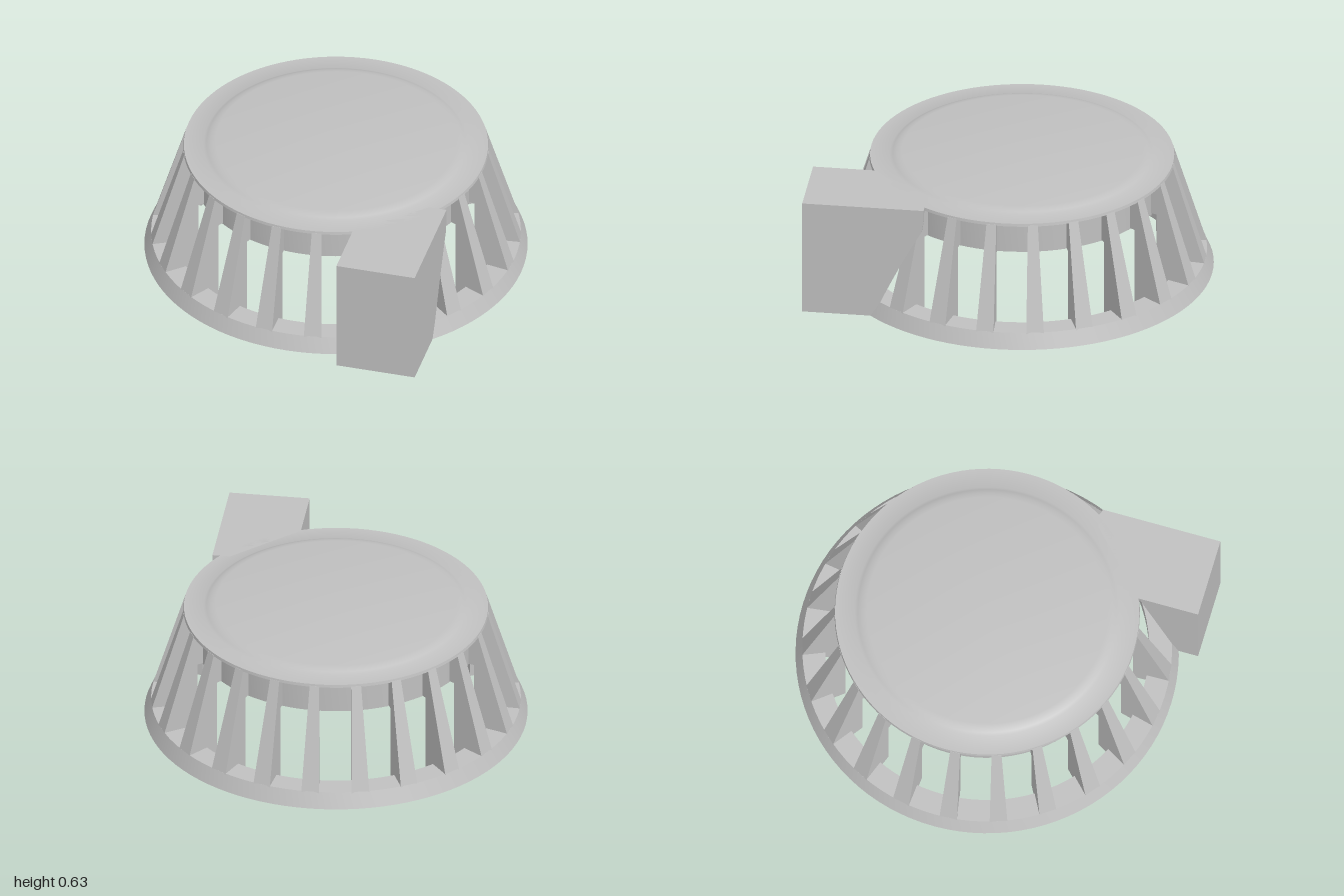
import * as THREE from 'three';
import { toCreasedNormals } from 'three/addons/utils/BufferGeometryUtils.js';

const CENTRE_Z = -0.03;   // axis of the round grate
const TOP = 0.615;
const coneRadius = (y) => 0.96 - 0.309 * y;   // sloping outer face of the slats

export function createModel() {
  const model = new THREE.Group();
  model.name = 'drainGrate';
  const grey = new THREE.MeshStandardMaterial({ color: 0xc0c0c0 });
  grey.name = 'light grey';

  const add = (parent, name, geometry) => {
    const mesh = new THREE.Mesh(geometry, grey);
    mesh.name = name;
    parent.add(mesh);
    return mesh;
  };
  const vectors = (points) => points.map(([a, b]) => new THREE.Vector2(a, b));
  const lathe = (points) => toCreasedNormals(new THREE.LatheGeometry(vectors(points), 96), 0.6);
  const plate = (points, depth) =>
    new THREE.ExtrudeGeometry(new THREE.Shape(vectors(points)), { depth, bevelEnabled: false });

  const round = new THREE.Group();
  round.name = 'roundGrate';
  round.position.z = CENTRE_Z;
  model.add(round);

  // Base ring with a sloping outer face
  add(round, 'baseRing', lathe([[0.82, 0], [0.97, 0], [0.936, 0.08], [0.82, 0.08], [0.82, 0]]));

  // Cap: hollow drum, thin rim and raised lid
  add(round, 'cap', lathe([
    [0, 0.57], [0.69, 0.57], [0.69, 0.43], [0.72, 0.43], [0.72, 0.6], [0.773, 0.6],
    [0.77, TOP], [0.67, TOP], [0.655, 0.623], [0.635, 0.631], [0.61, 0.635], [0, 0.635],
  ]));

  // Small hollow boss under the cap
  add(round, 'centreBoss', lathe([[0.13, 0.5], [0.15, 0.5], [0.15, 0.58], [0.13, 0.58], [0.13, 0.5]]));

  // Wedge-shaped slats, wider towards the outside
  const slat = plate([
    [0.75, 0.01], [coneRadius(0.01), 0.01], [coneRadius(0.605), 0.605],
    [0.71, 0.605], [0.71, 0.435], [0.75, 0.435],
  ], 1);
  slat.translate(0, 0, -0.5);
  const p = slat.attributes.position;
  for (let i = 0; i < p.count; i++) {
    p.setZ(i, p.getZ(i) * (0.05 + 0.24 * (p.getX(i) - 0.77)));
  }
  slat.computeVertexNormals();
  const COUNT = 23;
  for (let i = 0; i < COUNT; i++) {
    if (i === 9 || i === 10) continue;   // left open for the outlet box
    add(round, 'slat', slat).rotation.y = Math.PI / 2 - (i * 2 * Math.PI) / COUNT;
  }

  // Outlet box: hollow, open below and towards the grate
  const box = new THREE.Group();
  box.name = 'outletBox';
  model.add(box);
  const LEFT = 0.69, RIGHT = 0.28, BACK = 0.38, T = 0.025;

  // Side wall whose rear edge follows the cone of slats
  const sideWall = (name, x, outerX) => {
    const points = [[1, 0], [1, TOP]];
    for (let i = 10; i >= 0; i--) {
      const y = (TOP * i) / 10;
      const z = Math.sqrt(coneRadius(y) ** 2 - x * x) + CENTRE_Z;
      points.push([Math.max(z, BACK), y]);
    }
    const wall = plate(points, T);
    wall.rotateY(-Math.PI / 2);
    wall.translate(outerX, 0, 0);
    add(box, name, wall);
  };
  sideWall('boxLeftWall', LEFT, LEFT);
  sideWall('boxRightWall', RIGHT, RIGHT + T);

  const front = new THREE.BoxGeometry(LEFT - RIGHT, TOP, T);
  front.translate((LEFT + RIGHT) / 2, TOP / 2, 1 - T / 2);
  add(box, 'boxFrontWall', front);

  const lid = plate([[RIGHT, 1], [RIGHT, 0.68], [0.6, BACK], [LEFT, BACK], [LEFT, 1]], T);
  lid.rotateX(Math.PI / 2);
  lid.translate(0, TOP, 0);
  add(box, 'boxLid', lid);

  return model;
}
